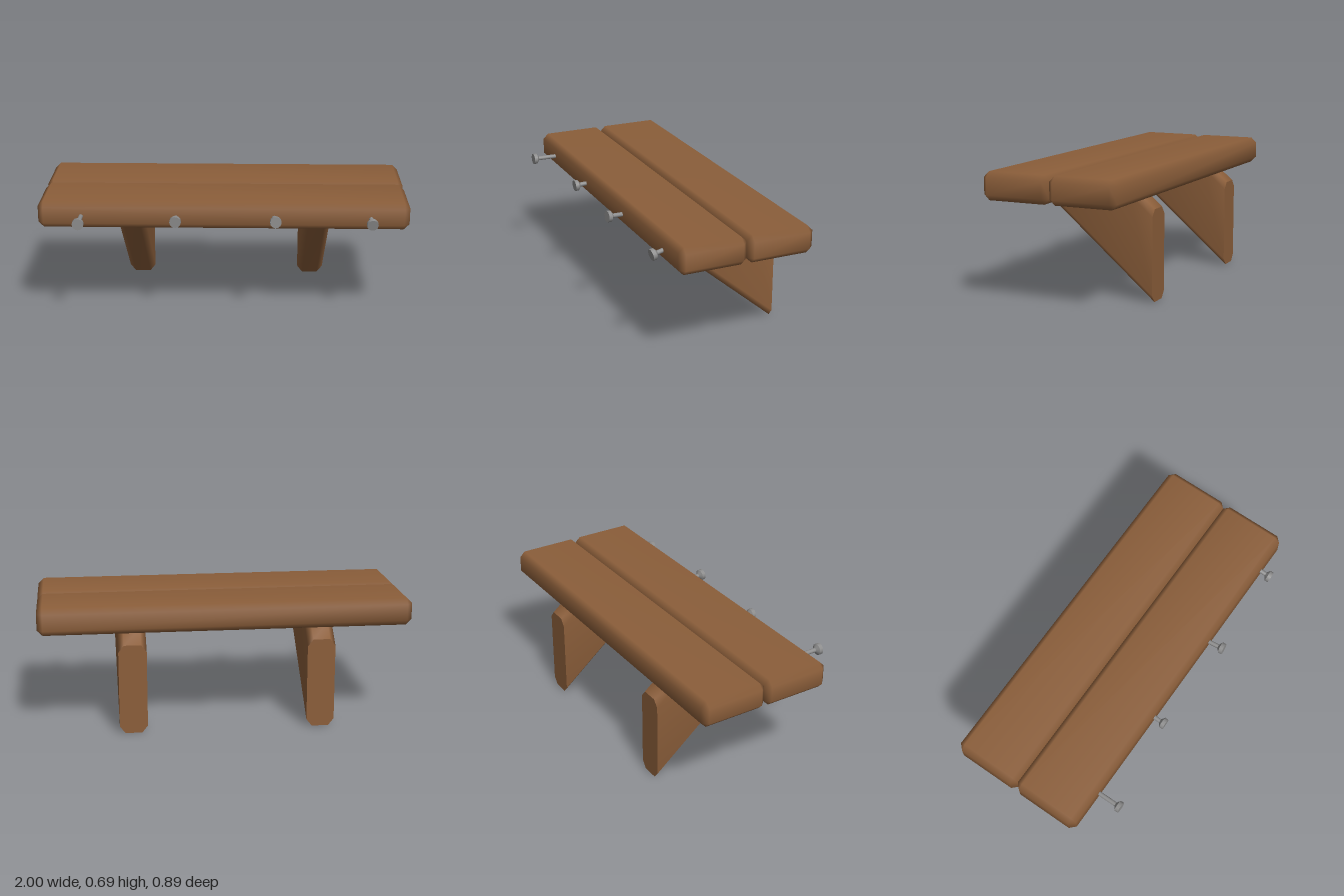
import * as THREE from 'three';
import { mergeVertices } from 'three/addons/utils/BufferGeometryUtils.js';
import { ConvexGeometry } from 'three/addons/geometries/ConvexGeometry.js';

const wood = new THREE.MeshStandardMaterial({ color: 0x8b5e3a });
const iron = new THREE.MeshStandardMaterial({ color: 0x8c8c8c });

function addMesh(parent, name, geometry, material) {
  const mesh = new THREE.Mesh(geometry, material);
  mesh.name = name;
  parent.add(mesh);
  return mesh;
}

// Box with every edge chamfered by c, shaded softly across the chamfers
function chamferedBox(w, h, d, c) {
  const points = [];
  for (const x of [-w / 2, w / 2])
    for (const y of [-h / 2, h / 2])
      for (const z of [-d / 2, d / 2]) {
        const ix = x - Math.sign(x) * c, iy = y - Math.sign(y) * c, iz = z - Math.sign(z) * c;
        points.push(
          new THREE.Vector3(x, iy, iz),
          new THREE.Vector3(ix, y, iz),
          new THREE.Vector3(ix, iy, z)
        );
      }
  const hull = new ConvexGeometry(points);
  hull.deleteAttribute('normal');
  const geometry = mergeVertices(hull, 1e-4);
  geometry.computeVertexNormals();
  return geometry;
}

// Sloping chamfered beam, cut upright at the wall and level under the planks
function addBracket(parent, name, x) {
  const group = new THREE.Group();
  group.name = name;
  group.position.x = x;
  parent.add(group);

  const back = -0.445, top = 0.56, slope = 0.843;
  const hw = 0.075, cx = 0.03, cy = 0.038, y0 = 0.003, y1 = 0.49;
  // Counter-clockwise section seen from +z
  const section = [
    [-hw + cx, y0], [hw - cx, y0], [hw, y0 + cy], [hw, y1 - cy],
    [hw - cx, y1], [-hw + cx, y1], [-hw, y1 - cy], [-hw, y0 + cy]
  ];
  const positions = [], index = [], n = section.length;
  section.forEach(([px, py], i) => {
    positions.push(px, py, back, px, top, back + (top - py) / slope);
    const a = 2 * i, b = 2 * ((i + 1) % n);
    index.push(a, b, b + 1, a, b + 1, a + 1);
  });
  const sides = new THREE.BufferGeometry();
  sides.setAttribute('position', new THREE.Float32BufferAttribute(positions, 3));
  sides.setIndex(index);
  sides.computeVertexNormals();
  addMesh(group, name + 'Beam', sides, wood);

  const cap = new THREE.ShapeGeometry(new THREE.Shape(section.map(([px, py]) => new THREE.Vector2(px, py))));
  cap.rotateY(Math.PI);
  cap.translate(0, 0, back);
  addMesh(group, name + 'WallFace', cap, wood);
}

// Nail from its root inside the plank to the centre of its head
function addNail(parent, name, root, tip) {
  const from = new THREE.Vector3(...root), to = new THREE.Vector3(...tip);
  const axis = to.clone().sub(from), length = axis.length();
  const rings = [
    [[0.012, 0], [0.012, length - 0.033]],
    [[0.012, length - 0.033], [0.031, length - 0.02]],
    [[0.031, length - 0.02], [0.031, length]],
    [[0.031, length], [0, length]]
  ];
  const nail = new THREE.Group();
  nail.name = name;
  ['Shaft', 'Neck', 'Rim', 'Face'].forEach((part, i) => {
    const profile = rings[i].map(([r, y]) => new THREE.Vector2(r, y));
    addMesh(nail, name + part, new THREE.LatheGeometry(profile, 12), iron);
  });
  nail.position.copy(from);
  nail.quaternion.setFromUnitVectors(new THREE.Vector3(0, 1, 0), axis.normalize());
  parent.add(nail);
}

export function createModel() {
  const model = new THREE.Group();
  model.name = 'wallShelf';

  // Two planks side by side, leaving a V groove between them
  for (const [name, z0, z1] of [['backPlank', -0.438, -0.065], ['frontPlank', -0.065, 0.31]]) {
    const plank = addMesh(model, name, chamferedBox(2, 0.148, z1 - z0, 0.03), wood);
    plank.position.set(0, 0.621, (z0 + z1) / 2);
  }

  // Brackets under the shelf
  addBracket(model, 'leftBracket', 0.505);
  addBracket(model, 'rightBracket', -0.505);

  // Slightly crooked nails used as hooks
  const nails = [
    [[-0.765, 0.618, 0.27], [-0.765, 0.62, 0.448]],
    [[-0.255, 0.618, 0.27], [-0.255, 0.612, 0.38]],
    [[0.268, 0.616, 0.27], [0.28, 0.622, 0.4]],
    [[0.788, 0.622, 0.27], [0.795, 0.6, 0.374]]
  ];
  nails.forEach(([root, tip], i) => addNail(model, 'nail' + (i + 1), root, tip));

  return model;
}
